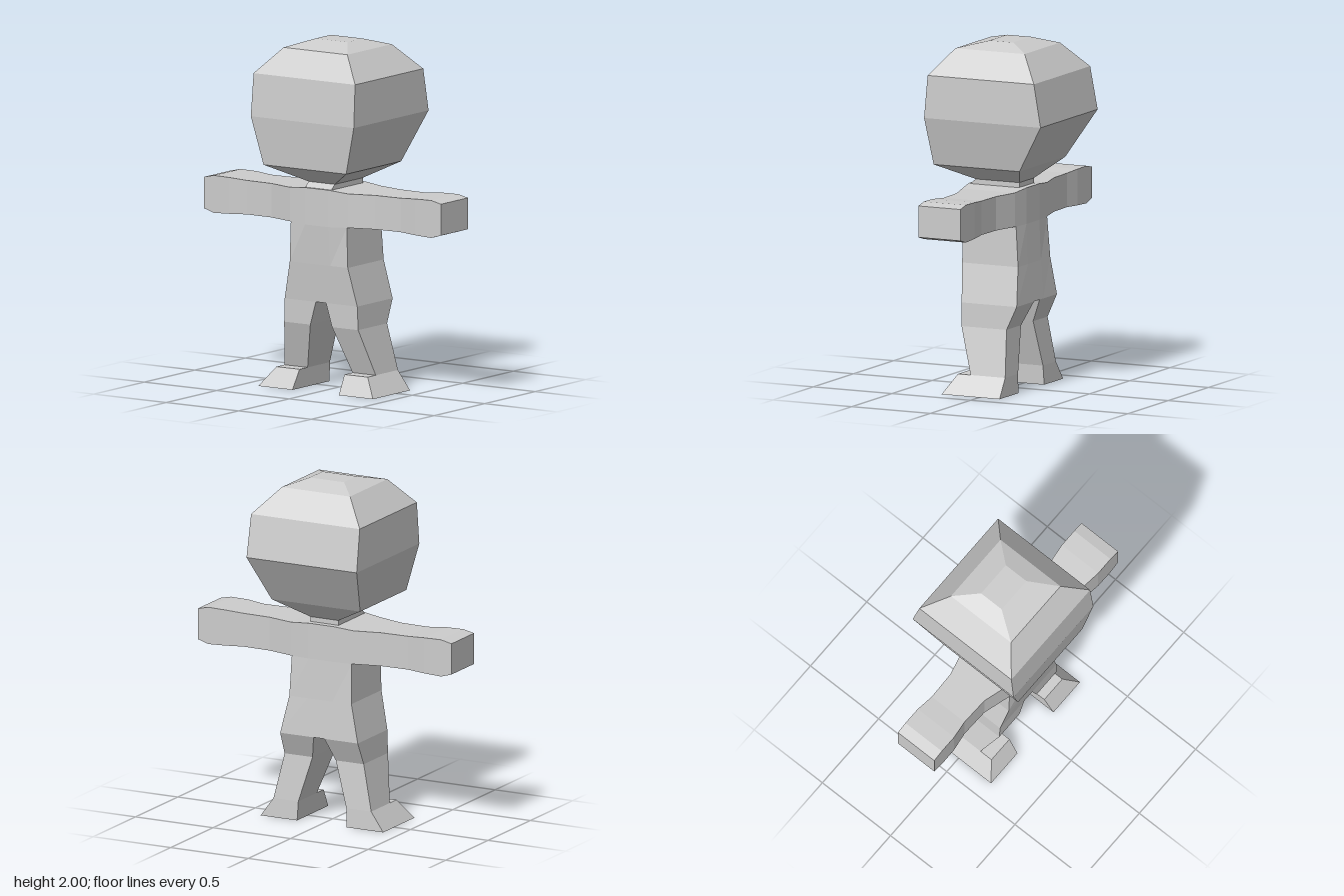
import * as THREE from 'three';

const grey = new THREE.MeshStandardMaterial({ color: 0xcccccc, flatShading: true });
grey.name = 'plain grey';

// Skin a list of rings (each a list of [x, y, z]), optionally capping the ends.
function loft(name, rings, capStart = false, capEnd = false) {
  const n = rings[0].length;
  const index = [];
  for (let r = 0; r < rings.length - 1; r++) {
    for (let i = 0; i < n; i++) {
      const a = r * n + i, b = r * n + (i + 1) % n;
      index.push(a, b, b + n, a, b + n, a + n);
    }
  }
  const last = (rings.length - 1) * n;
  for (let i = 1; i < n - 1; i++) {
    if (capStart) index.push(0, i + 1, i);
    if (capEnd) index.push(last, last + i, last + i + 1);
  }
  const indexed = new THREE.BufferGeometry();
  indexed.setAttribute('position', new THREE.Float32BufferAttribute(rings.flat(2), 3));
  indexed.setIndex(index);
  const geometry = indexed.toNonIndexed();
  geometry.computeVertexNormals();
  const mesh = new THREE.Mesh(geometry, grey);
  mesh.name = name;
  return mesh;
}

// Level rectangle at height y
const level = (y, x0, x1, z0, z1) => [[x0, y, z1], [x1, y, z1], [x1, y, z0], [x0, y, z0]];
// Upright rectangle across an arm at x
const across = (x, y0, y1, z0, z1) => [[x, y0, z1], [x, y0, z0], [x, y1, z0], [x, y1, z1]];

export function createModel() {
  const model = new THREE.Group();
  model.name = 'figure';

  // Head: height, half width, back, front
  const head = [
    [1.195, 0.09, -0.10, 0.177],
    [1.295, 0.285, -0.20, 0.345],
    [1.57, 0.355, -0.37, 0.37],
    [1.815, 0.35, -0.325, 0.35],
    [1.96, 0.22, -0.20, 0.24],
    [2.0, 0.11, -0.07, 0.08],
  ];
  model.add(loft('head', head.map(([y, w, b, f]) => level(y, -w, w, b, f)), false, true));

  // Neck
  model.add(loft('neck', [
    level(1.16, -0.09, 0.09, -0.10, 0.22),
    level(1.195, -0.09, 0.09, -0.10, 0.177),
  ]));

  // Shoulders and arms: distance from the middle, bottom, top, back, front
  const arm = [
    [0.08, 0.955, 1.167, -0.14, 0.225],
    [0.20, 0.96, 1.155, -0.128, 0.207],
    [0.36, 0.96, 1.155, -0.09, 0.16],
    [0.53, 0.96, 1.155, -0.085, 0.155],
    [0.64, 0.955, 1.163, -0.097, 0.17],
    [0.75, 0.95, 1.165, -0.097, 0.17],
    [0.817, 0.97, 1.15, -0.097, 0.17],
  ];
  const rightArm = [...arm].reverse().map(([x, ...rest]) => across(-x, ...rest));
  const leftArm = arm.map(([x, ...rest]) => across(x, ...rest));
  model.add(loft('shouldersAndArms', [...rightArm, ...leftArm], true, true));

  // Torso: height, half width, side back and front, middle back and front
  const torso = [
    [0.51, 0.25, -0.165, 0.185, -0.165, 0.185],
    [0.73, 0.20, -0.148, 0.207, -0.15, 0.209],
    [0.96, 0.193, -0.132, 0.207, -0.14, 0.225],
  ];
  model.add(loft('torso', torso.map(([y, w, b, f, mb, mf]) => [
    [-w, y, f], [-0.08, y, mf], [0.08, y, mf], [w, y, f],
    [w, y, b], [0.08, y, mb], [-0.08, y, mb], [-w, y, b],
  ]), true));

  // Legs and feet: height, inner x, outer x, back, front
  const leg = [
    [0.11, 0.155, 0.315, -0.125, 0.095],
    [0.375, 0.075, 0.255, -0.103, 0.183],
    [0.51, 0.035, 0.25, -0.165, 0.185],
  ];
  const foot = [
    [0, 0.16, 0.395, -0.13, 0.238],
    [0.11, 0.155, 0.315, -0.125, 0.175],
  ];
  for (const [side, s] of [['left', 1], ['right', -1]]) {
    const ring = ([y, inner, outer, b, f]) =>
      level(y, Math.min(s * inner, s * outer), Math.max(s * inner, s * outer), b, f);
    model.add(loft(side + 'Leg', leg.map(ring)));
    model.add(loft(side + 'Foot', foot.map(ring), true, true));
  }
  return model;
}
